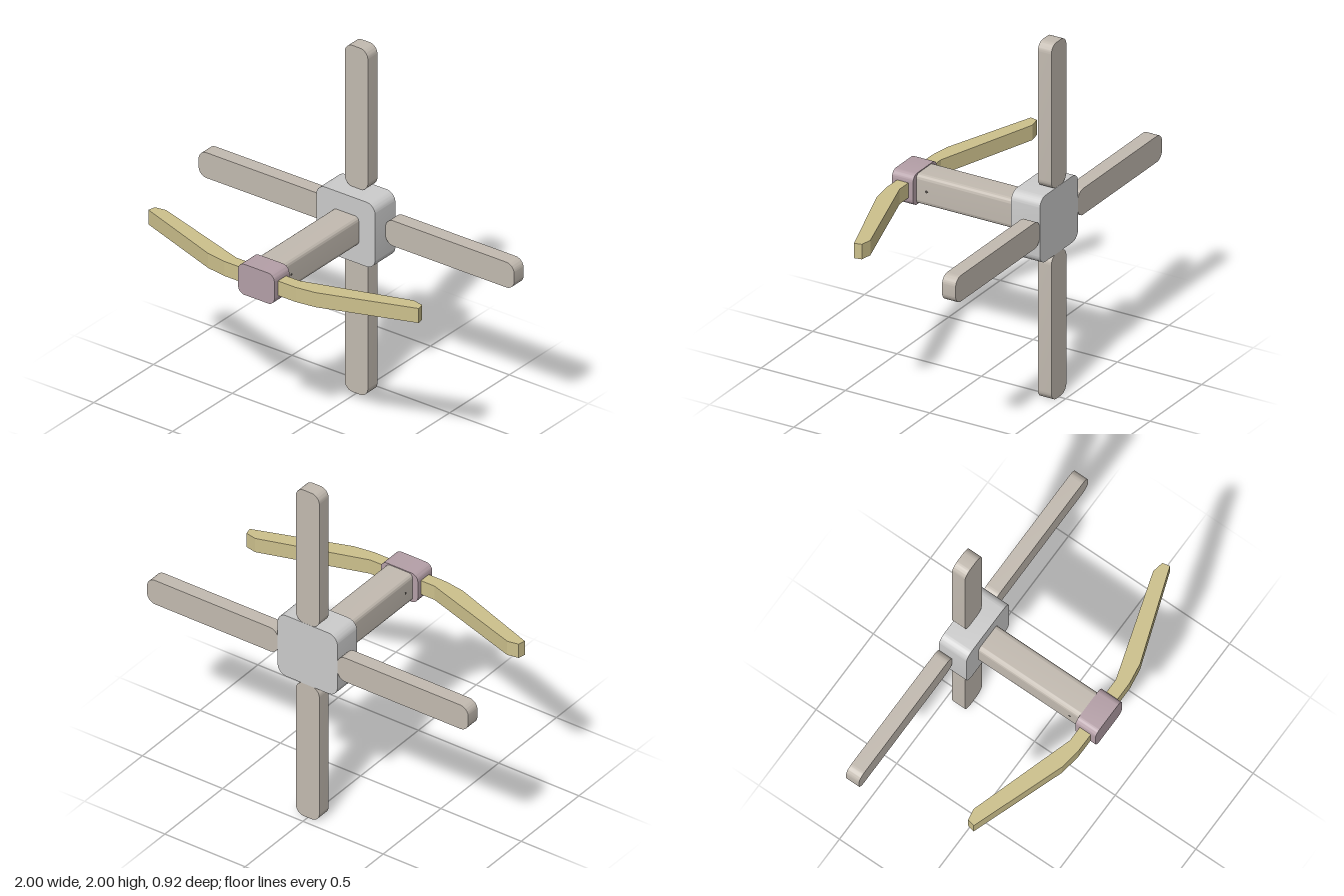
import * as THREE from 'three';
import { toCreasedNormals } from 'three/addons/utils/BufferGeometryUtils.js';

const mat = (color) => new THREE.MeshStandardMaterial({ color });
const grey = mat(0xcccccc), taupe = mat(0xc2bab0), mauve = mat(0xb49fa7), straw = mat(0xccc08c), dark = mat(0x4a4642);

// Rounded rectangle centred on the origin
function roundedRect(w, h, r) {
  const s = new THREE.Shape(), x = w / 2, y = h / 2;
  s.moveTo(-x + r, -y);
  s.lineTo(x - r, -y);
  s.absarc(x - r, -y + r, r, -Math.PI / 2, 0);
  s.lineTo(x, y - r);
  s.absarc(x - r, y - r, r, 0, Math.PI / 2);
  s.lineTo(-x + r, y);
  s.absarc(-x + r, y - r, r, Math.PI / 2, Math.PI);
  s.lineTo(-x, -y + r);
  s.absarc(-x + r, -y + r, r, Math.PI, Math.PI * 1.5);
  return s;
}

// Straight extrusion with smooth rounded corners and sharp rims
function slab(shape, depth) {
  const g = new THREE.ExtrudeGeometry(shape, { depth, bevelEnabled: false, curveSegments: 8 });
  return toCreasedNormals(g, 0.6);
}

export function createModel() {
  const model = new THREE.Group();
  model.name = 'bladedBow';
  const centre = new THREE.Group();
  centre.name = 'assembly';
  centre.position.y = 1;
  model.add(centre);

  const add = (name, geometry, material, z = 0) => {
    const m = new THREE.Mesh(geometry, material);
    m.name = name;
    m.position.z = z;
    centre.add(m);
    return m;
  };

  // Hub, shaft and front clamp along z
  add('hub', slab(roundedRect(0.372, 0.372, 0.055), 0.17), grey, -0.46);
  add('shaft', slab(roundedRect(0.166, 0.166, 0.025), 0.64), taupe, -0.295);
  add('clamp', slab(roundedRect(0.23, 0.176, 0.04), 0.125), mauve, 0.335);

  // Four blades around the hub
  const bladeGeo = slab(roundedRect(0.146, 0.815, 0.05), 0.08);
  bladeGeo.translate(0, 0.5925, 0);
  for (let i = 0; i < 4; i++) {
    add('blade' + (i + 1), bladeGeo, taupe, -0.459).rotation.z = (i * Math.PI) / 2;
  }

  // Bow limbs: half outline in x and z, mirrored through the clamp
  const half = [[0.225, 0.43], [0.34, 0.413], [0.857, 0.231], [0.848, 0.19], [0.785, 0.178], [0.2, 0.362]];
  const mirrored = half.map(([x, z]) => [-x, z]).reverse();
  const outline = new THREE.Shape([...half, ...mirrored].map(([x, z]) => new THREE.Vector2(x, -z)));
  const bowGeo = new THREE.ExtrudeGeometry(outline, { depth: 0.084, bevelEnabled: false });
  bowGeo.translate(0, 0, -0.042).rotateX(-Math.PI / 2);
  add('bow', bowGeo, straw);

  // Small cross pin through the shaft
  const pinGeo = new THREE.CylinderGeometry(0.008, 0.008, 0.167, 12).rotateZ(Math.PI / 2);
  add('pin', pinGeo, dark, 0.275);

  return model;
}
